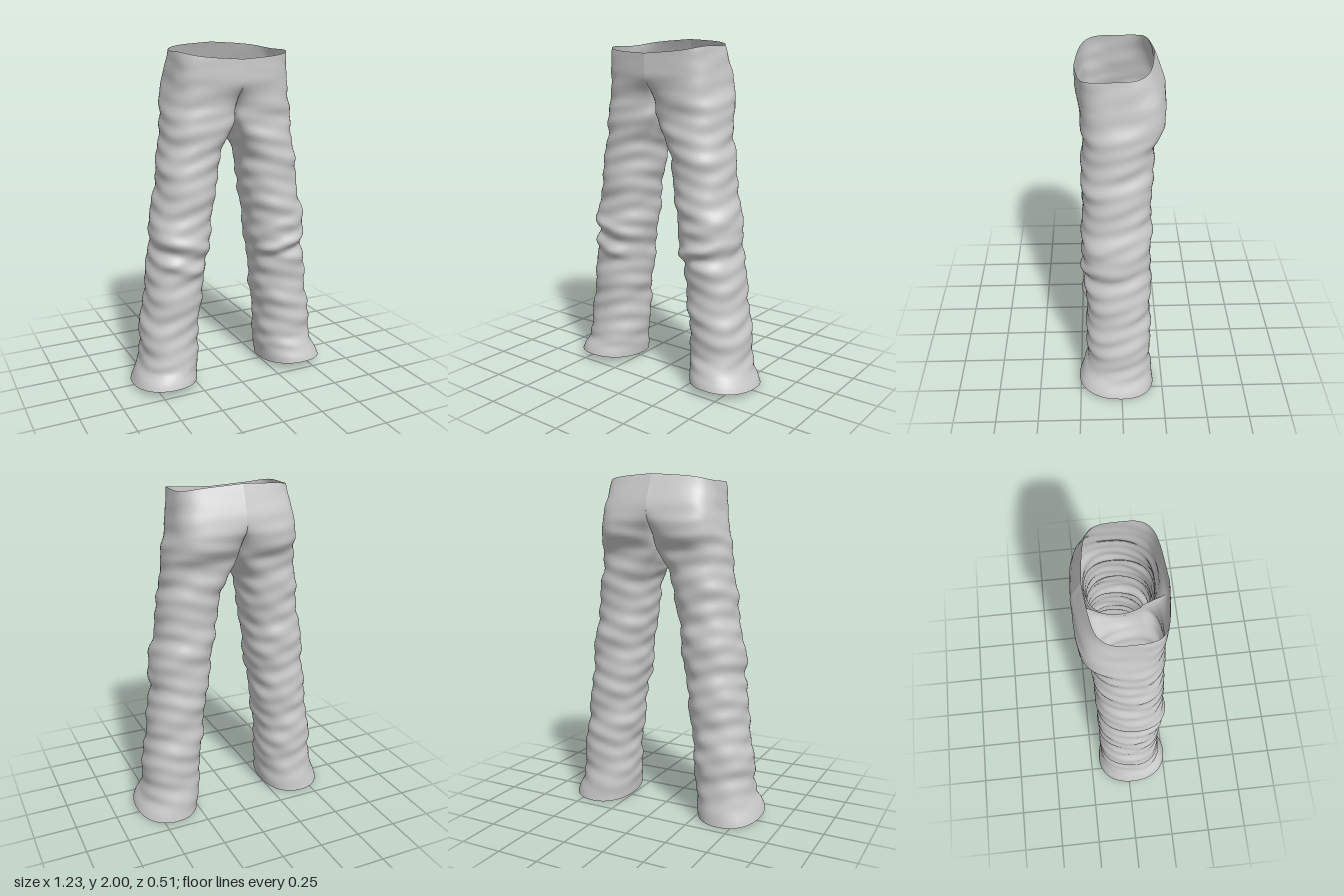
import * as THREE from 'three';
import { mergeVertices, mergeGeometries } from 'three/addons/utils/BufferGeometryUtils.js';

const CROTCH = 1.63, OUTER = 48, INNER = 14, RING = OUTER + INNER;

// Profile of one side: height, inner x, outer x, front z, back z
const PROFILE = [
  [1.96, 0, 0.325, 0.245, -0.185], [1.9, 0, 0.335, 0.245, -0.21], [1.82, 0, 0.348, 0.245, -0.245],
  [1.74, 0, 0.358, 0.235, -0.26], [1.66, 0, 0.378, 0.215, -0.235], [1.58, 0, 0.392, 0.21, -0.195],
  [1.5, 0.025, 0.4, 0.212, -0.18], [1.4, 0.057, 0.41, 0.214, -0.175], [1.2, 0.097, 0.437, 0.215, -0.17],
  [1.0, 0.122, 0.472, 0.218, -0.17], [0.8, 0.155, 0.488, 0.212, -0.17], [0.6, 0.182, 0.512, 0.203, -0.17],
  [0.4, 0.205, 0.543, 0.203, -0.172], [0.2, 0.22, 0.56, 0.21, -0.175], [0.12, 0.225, 0.575, 0.225, -0.18],
  [0.06, 0.23, 0.605, 0.25, -0.19], [0.025, 0.234, 0.617, 0.258, -0.195],
];

const { lerp, smoothstep } = THREE.MathUtils;
const signedPow = (v, e) => Math.sign(v) * Math.abs(v) ** e;

function profileAt(y) {
  let k = 0;
  while (k < PROFILE.length - 2 && y < PROFILE[k + 1][0]) k++;
  const a = PROFILE[k], b = PROFILE[k + 1];
  const f = (a[0] - y) / (a[0] - b[0]);
  return a.map((v, i) => lerp(v, b[i], f));
}

// Cloth folds: soft ripples everywhere plus slanted folds at the knee
function folds(y, a, side) {
  const ph = side > 0 ? 0 : 2.1;
  const ripple = 0.0045 * Math.sin(19 * y + 2 * Math.sin(a + ph) + ph)
    + 0.004 * Math.sin(37 * y + 3 * Math.cos(a - ph) + 2 * ph) * Math.sin(2 * a + 5 * y + ph)
    + 0.003 * Math.sin(61 * y + 2 * Math.sin(2 * a) + ph);
  const front = Math.max(0, Math.cos(a - 0.15)) ** 0.7;
  const ridge = (c, slope, w, h) => h * front * Math.exp(-(((y - c - slope * Math.sin(a)) / w) ** 2));
  const knee = side > 0
    ? ridge(0.83, 0.05, 0.035, 0.024) + ridge(0.95, 0.04, 0.04, 0.014) - ridge(0.775, 0.03, 0.03, 0.012)
    : ridge(0.89, 0.05, 0.035, 0.018) + ridge(0.75, 0.06, 0.035, 0.015) - ridge(0.82, 0.05, 0.03, 0.01);
  return ripple * smoothstep(y, 0, 0.2) * (1 - 0.6 * smoothstep(y, 1.6, 1.75)) + knee;
}

// Point j of the ring at height h; the first OUTER steps run front, side, back
function ringPoint(h, j, side) {
  const [, xi, xo, zf, zb] = profileAt(h);
  const outer = j <= OUTER;
  const t = outer ? (j / OUTER) * Math.PI : Math.PI;
  const u = outer ? 0 : (j - OUTER) / INNER;
  const a = -Math.PI / 3 + (outer ? (t * 5) / 3 : (5 * Math.PI) / 3 + (u * Math.PI) / 3);
  const zc = (zf + zb) / 2, hz = (zf - zb) / 2, r = (xo - xi) / 2;

  // Leg section, blended into the wide hip section above the crotch
  const swell = folds(h, a, side);
  const legX = (xi + xo) / 2 + (r + swell) * signedPow(Math.sin(a), 0.9);
  const legZ = zc + (hz + swell) * signedPow(Math.cos(a), 0.9);
  const b = 1 - smoothstep(h, CROTCH - 0.01, 1.8);
  const hipX = (xo + swell) * Math.abs(Math.sin(t)) ** 0.65;
  const hipZ = zc + (hz + swell * Math.sin(t)) * signedPow(Math.cos(t), 0.6);
  let x = outer ? lerp(hipX, legX, b) : legX;
  const z = outer ? lerp(hipZ, legZ, b) : legZ;

  // Draw the inner edge in to the centre seam
  const near = smoothstep(h, 1.38, CROTCH);
  x = lerp(x, xi, near * (outer ? Math.abs(Math.cos(t)) ** 10 : 1));
  if (h >= CROTCH && (j === 0 || !outer || j === OUTER)) x = 0;

  // Sagging crotch, dipped waistline and slanted hem
  let y = h - 0.06 * Math.sin(Math.PI * u) * near;
  y -= 0.04 * smoothstep(h, 1.7, 1.96) * Math.cos(t) * Math.abs(Math.cos(t));
  y += 0.024 * (1 - smoothstep(h, 0, 0.25)) * Math.cos(a);
  return [side * x, y, z];
}

// One half of the trousers: open rows at the hips, closed rings down the leg
function halfGeometry(side) {
  const heights = [];
  for (let i = 0; i < 20; i++) heights.push(lerp(1.96, CROTCH, i / 20));
  for (let i = 0; i <= 110; i++) heights.push(lerp(CROTCH, 0.025, i / 110));
  const positions = [], index = [];
  heights.forEach((h, i) => {
    for (let j = 0; j < RING; j++) positions.push(...ringPoint(h, j, side));
    if (i === heights.length - 1) return;
    const count = i < 20 ? OUTER : RING;
    for (let j = 0; j < count; j++) {
      const k = (j + 1) % RING;
      const p = i * RING + j, q = i * RING + k, s = p + RING, v = q + RING;
      if (side > 0) index.push(p, s, q, q, s, v);
      else index.push(p, q, s, q, v, s);
    }
  });
  const g = new THREE.BufferGeometry();
  g.setAttribute('position', new THREE.Float32BufferAttribute(positions, 3));
  g.setIndex(index);
  return g;
}

export function createModel() {
  const model = new THREE.Group();
  model.name = 'trousers';
  // Weld the halves along the centre seam so the cloth shades smoothly
  const cloth = mergeVertices(mergeGeometries([halfGeometry(1), halfGeometry(-1)]), 1e-4);
  cloth.computeVertexNormals();
  const mesh = new THREE.Mesh(cloth, new THREE.MeshStandardMaterial({
    color: 0xcccccc, side: THREE.DoubleSide,
  }));
  mesh.name = 'trouserCloth';
  model.add(mesh);
  return model;
}
